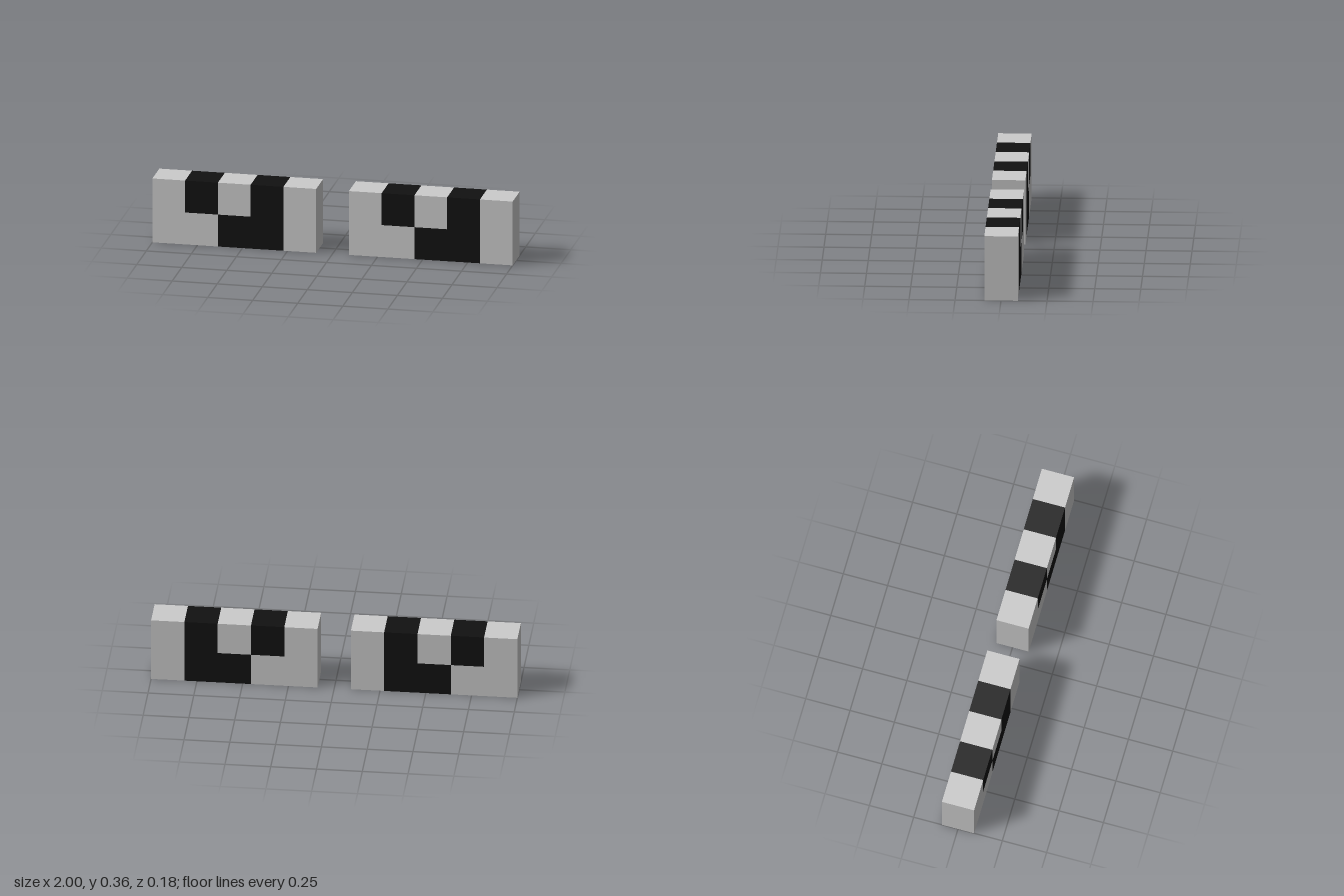
import * as THREE from 'three';

const S = 2 / 11; // side of one square cell

// Prism from an outline given in cells, centred on z = 0
function prism(name, outline, material) {
  const shape = new THREE.Shape(outline.map(([x, y]) => new THREE.Vector2(x * S, y * S)));
  const geometry = new THREE.ExtrudeGeometry(shape, { depth: S, bevelEnabled: false });
  geometry.translate(0, 0, -S / 2);
  const mesh = new THREE.Mesh(geometry, material);
  mesh.name = name;
  return mesh;
}

const rect = (x0, y0, x1, y1) => [[x0, y0], [x1, y0], [x1, y1], [x0, y1]];

export function createModel() {
  const grey = new THREE.MeshStandardMaterial({ color: 0xcccccc });
  const black = new THREE.MeshStandardMaterial({ color: 0x111111 });

  // One five-by-two lens, its left edge at x = 0
  const makeLens = (name, x) => {
    const lens = new THREE.Group();
    lens.name = name;
    lens.add(
      prism('outerCorner', [[0, 0], [2, 0], [2, 1], [1, 1], [1, 2], [0, 2]], grey),
      prism('upperDarkSquare', rect(1, 1, 2, 2), black),
      prism('upperLightSquare', rect(2, 1, 3, 2), grey),
      prism('darkCorner', [[2, 0], [4, 0], [4, 2], [3, 2], [3, 1], [2, 1]], black),
      prism('endBar', rect(4, 0, 5, 2), grey),
    );
    lens.position.x = x;
    return lens;
  };

  // Two identical lenses with a one-cell gap between them
  const model = new THREE.Group();
  model.name = 'pixelLenses';
  model.add(makeLens('rightLens', -5.5 * S), makeLens('leftLens', 0.5 * S));
  return model;
}
